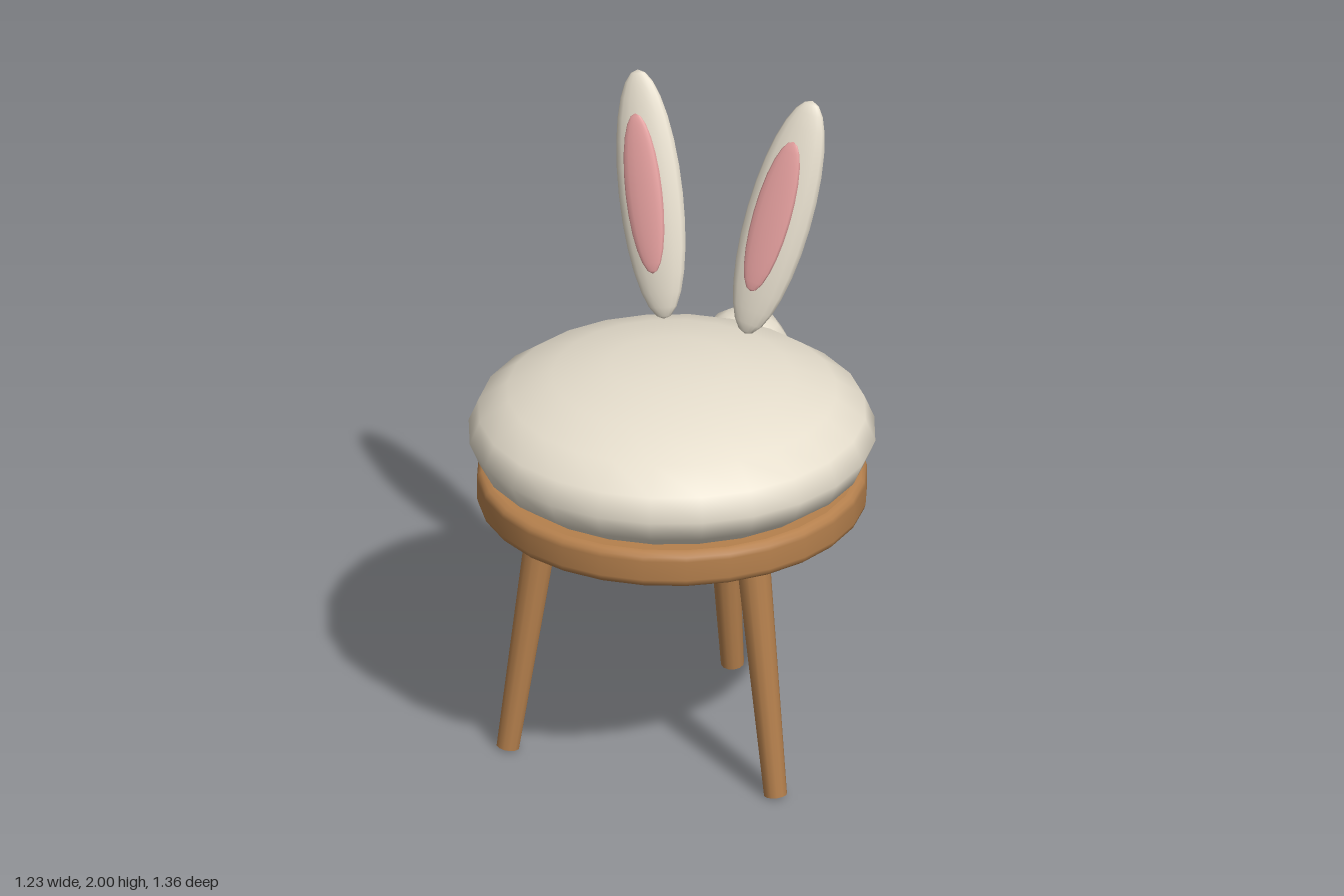
import * as THREE from 'three';

const cream = new THREE.MeshStandardMaterial({ name: 'cream fabric', color: 0xe6decd });
const wood = new THREE.MeshStandardMaterial({ name: 'warm wood', color: 0xb5804d });
const pink = new THREE.MeshStandardMaterial({ name: 'inner ear pink', color: 0xe5a09f });

const SEAT_Z = 0.06; // centre of the round seat

function addMesh(parent, name, geometry, material, x = 0, y = 0, z = 0) {
  const mesh = new THREE.Mesh(geometry, material);
  mesh.name = name;
  mesh.position.set(x, y, z);
  parent.add(mesh);
  return mesh;
}

function ellipsoid(rx, ry, rz, around, high) {
  return new THREE.SphereGeometry(1, around, high).scale(rx, ry, rz);
}

export function createModel() {
  const model = new THREE.Group();
  model.name = 'bunnyStool';

  // Round wooden seat with a softened rim
  const r = 0.59, low = 0.807, top = 0.925, b = 0.028;
  const profile = [[0, low], [r - b, low], [r - b, low]];
  for (let i = 0; i <= 3; i++) {
    const a = (i / 3) * Math.PI / 2;
    profile.push([r - b + b * Math.sin(a), low + b - b * Math.cos(a)]);
  }
  for (let i = 0; i <= 3; i++) {
    const a = (i / 3) * Math.PI / 2;
    profile.push([r - b + b * Math.cos(a), top - b + b * Math.sin(a)]);
  }
  profile.push([r - b, top], [0, top]);
  const seat = new THREE.LatheGeometry(profile.map(([x, y]) => new THREE.Vector2(x, y)), 28);
  addMesh(model, 'seat', seat, wood, 0, 0, SEAT_Z);

  // Three splayed, tapered legs: two in front, one behind
  const up = new THREE.Vector3(0, 1, 0);
  for (let i = 0; i < 3; i++) {
    const a = Math.PI / 6 + (i * Math.PI * 2) / 3;
    const at = (d, y) => new THREE.Vector3(Math.cos(a) * d, y, SEAT_Z + Math.sin(a) * d);
    const foot = at(0.5, 0.007), head = at(0.378, 0.86);
    const axis = head.clone().sub(foot);
    const leg = addMesh(model, 'leg' + (i + 1),
      new THREE.CylinderGeometry(0.053, 0.035, axis.length(), 12), wood);
    leg.position.copy(foot).add(head).multiplyScalar(0.5);
    leg.quaternion.setFromUnitVectors(up, axis.normalize());
  }

  // Plump cushion
  addMesh(model, 'cushion', ellipsoid(0.617, 0.232, 0.615, 24, 10), cream, 0, 1.041, SEAT_Z);

  // Fluffy round tail
  const tail = ellipsoid(0.145, 0.145, 0.145, 10, 8).rotateY(Math.PI / 2);
  addMesh(model, 'tail', tail, cream, 0, 1.013, -0.535);

  // Ears lean outward and back, with a pink pad in front
  for (const side of [1, -1]) {
    const name = side > 0 ? 'left' : 'right';
    const ear = addMesh(model, name + 'Ear', ellipsoid(0.104, 0.385, 0.045, 16, 14), cream,
      side * 0.207, 1.632, -0.294);
    ear.rotation.set(-0.231, 0, -side * 0.2);
    const inner = addMesh(model, name + 'InnerEar', ellipsoid(0.06, 0.248, 0.016, 14, 12), pink,
      side * 0.207, 1.662, -0.237);
    inner.rotation.set(-0.222, 0, -side * 0.2);
  }

  return model;
}
